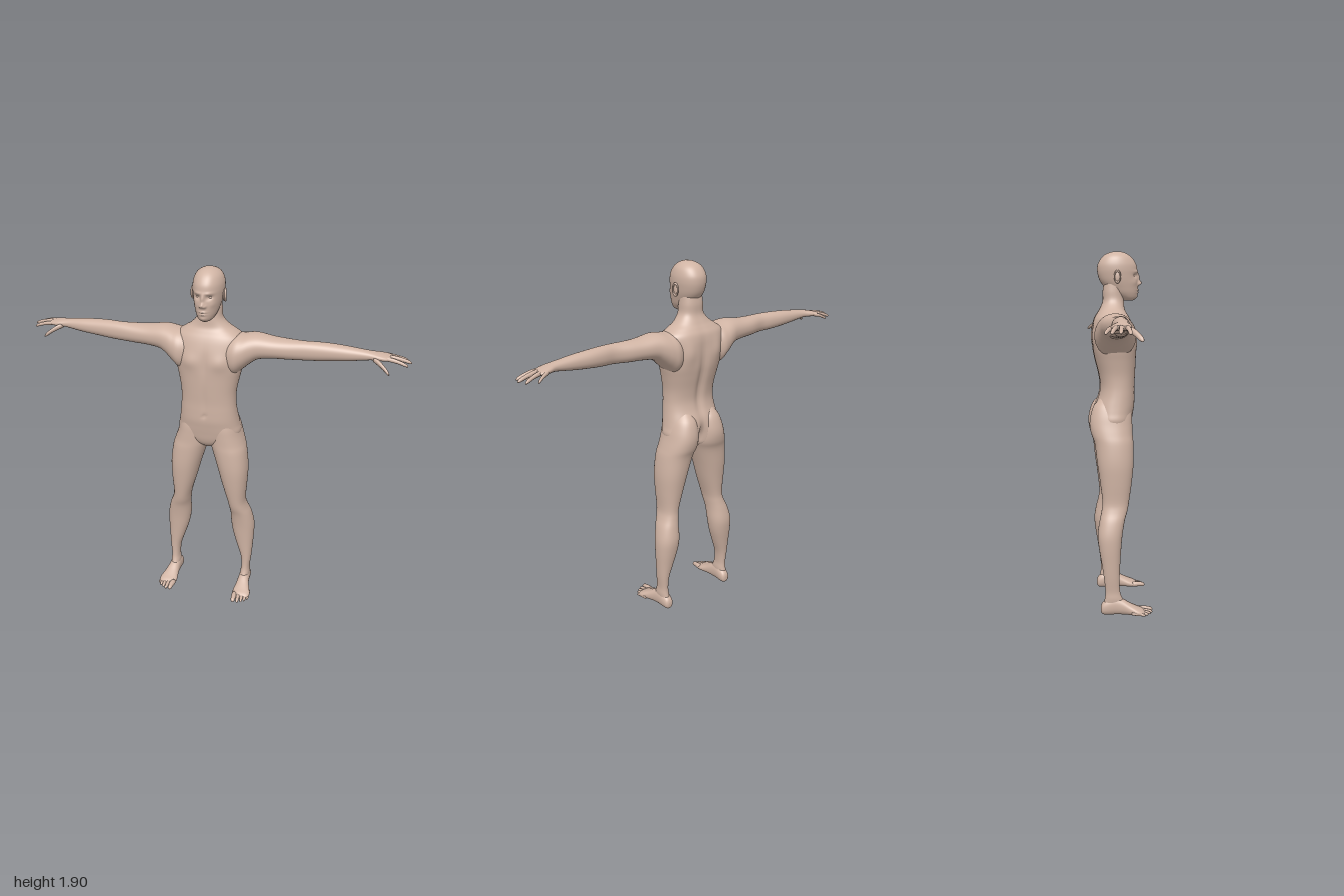
import * as THREE from 'three';

const skin = new THREE.MeshStandardMaterial({ color: 0xd0b4a4 });
skin.name = 'skin';

// Smoothly resample rows of numbers with a Catmull-Rom spline
function resample(rows, steps) {
  const out = [];
  const at = (i) => rows[Math.max(0, Math.min(rows.length - 1, i))];
  for (let i = 0; i < rows.length - 1; i++) {
    for (let s = 0; s < steps; s++) {
      const t = s / steps;
      out.push(rows[i].map((b, k) => {
        const a = at(i - 1)[k], c = at(i + 1)[k], d = at(i + 2)[k];
        return b + 0.5 * t * (c - a + t * (2 * a - 5 * b + 4 * c - d + t * (3 * (b - c) + d - a)));
      }));
    }
  }
  out.push(rows[rows.length - 1]);
  return out;
}

// Closed loft through rounded sections [t, a0, a1, b0, b1].
// Axis y: a = x, b = z. Axis x: a = y, b = z. Axis z: a = x, b = y.
function loft(name, rows, { axis = 'y', side = 1, seg = 40, steps = 4, power = 2.2, sculpt } = {}) {
  const pos = [], index = [];
  const place = (t, a, b) => {
    const p = axis === 'y' ? [a, t, b] : axis === 'x' ? [t, a, b] : [a, b, t];
    return new THREE.Vector3(...p);
  };
  const push = (p) => pos.push(p.x * side, p.y, p.z);
  const rings = resample(rows, steps);
  for (const [t, a0, a1, b0, b1] of rings) {
    for (let j = 0; j < seg; j++) {
      const q = (j / seg) * Math.PI * 2;
      const c = Math.cos(q), s = Math.sin(q);
      const round = (v) => Math.sign(v) * Math.abs(v) ** (2 / power);
      const p = place(t, (a0 + a1) / 2 + (a1 - a0) / 2 * round(c), (b0 + b1) / 2 + (b1 - b0) / 2 * round(s));
      if (sculpt) sculpt(p, s);
      push(p);
    }
  }
  const n = rings.length;
  for (let i = 0; i < n - 1; i++) {
    for (let j = 0; j < seg; j++) {
      const a = i * seg + j, b = i * seg + (j + 1) % seg;
      index.push(a, a + seg, b, b, a + seg, b + seg);
    }
  }
  // End caps
  for (const i of [0, n - 1]) {
    const [t, a0, a1, b0, b1] = rings[i];
    push(place(t, (a0 + a1) / 2, (b0 + b1) / 2));
    const mid = pos.length / 3 - 1;
    for (let j = 0; j < seg; j++) {
      const a = i * seg + j, b = i * seg + (j + 1) % seg;
      index.push(...(i === 0 ? [mid, a, b] : [mid, b, a]));
    }
  }
  // Turn the faces outward if the enclosed volume is negative
  let volume = 0;
  const v = (k) => new THREE.Vector3().fromArray(pos, index[k] * 3);
  for (let k = 0; k < index.length; k += 3) volume += v(k).dot(v(k + 1).cross(v(k + 2)));
  if (volume < 0) index.reverse();
  const geo = new THREE.BufferGeometry();
  geo.setAttribute('position', new THREE.Float32BufferAttribute(pos, 3));
  geo.setIndex(index);
  geo.computeVertexNormals();
  const mesh = new THREE.Mesh(geo, skin);
  mesh.name = name;
  return mesh;
}

// Mirrored soft bumps [x, y, width, height, outward amount, front 1 or back -1]
const bumps = (list) => (p, s) => {
  let dz = 0;
  for (const [x, y, w, h, amount, face] of list) {
    const near = Math.exp(-(((Math.abs(p.x) - x) / w) ** 2) - ((p.y - y) / h) ** 2);
    dz += amount * face * near * Math.min(1, Math.max(0, s * face * 1.6));
  }
  p.z += dz;
};

const symmetric = (rows) => rows.map(([y, w, z0, z1]) => [y, -w, w, z0, z1]);

// Tapered finger or toe from base to tip, along x or z
function digit(name, axis, side, base, tip, r, bend) {
  const k = axis === 'x' ? [0, 1, 2] : [2, 0, 1];
  const rows = [[0, 1], [0.3, 1.02], [0.6, 0.9], [0.85, 0.8], [0.96, 0.5], [1, 0.12]].map(([t, f]) => {
    const [m, a, b] = k.map((i) => base[i] + (tip[i] - base[i]) * t + (i === 1 ? bend * Math.sin(Math.PI * t) : 0));
    return [m, a - r * f, a + r * f, b - r * f, b + r * f];
  });
  return loft(name, rows, { axis, side, seg: 14, steps: 3, power: 2 });
}

export function createModel() {
  const model = new THREE.Group();
  model.name = 'figure';

  // Torso and neck
  model.add(loft('torso', symmetric([
    [0.925, 0.03, -0.08, 0.02], [0.95, 0.09, -0.12, 0.045], [0.98, 0.15, -0.135, 0.058],
    [1.02, 0.17, -0.14, 0.066], [1.06, 0.163, -0.138, 0.073], [1.1, 0.156, -0.13, 0.079],
    [1.15, 0.149, -0.112, 0.08], [1.2, 0.145, -0.105, 0.08], [1.26, 0.147, -0.113, 0.083],
    [1.33, 0.16, -0.13, 0.086], [1.38, 0.172, -0.14, 0.087], [1.43, 0.18, -0.143, 0.084],
    [1.48, 0.185, -0.142, 0.077], [1.52, 0.185, -0.14, 0.066], [1.55, 0.172, -0.134, 0.054],
    [1.575, 0.138, -0.12, 0.04], [1.6, 0.1, -0.105, 0.028], [1.64, 0.067, -0.088, 0.024],
    [1.69, 0.062, -0.087, 0.02], [1.74, 0.058, -0.08, 0.02],
  ]), {
    seg: 96, steps: 5, power: 2.3,
    sculpt: bumps([
      [0.08, 1.43, 0.05, 0.04, 0.011, 1], [0, 1.41, 0.015, 0.07, -0.006, 1],
      [0, 1.22, 0.012, 0.09, -0.004, 1], [0, 1.13, 0.009, 0.01, -0.007, 1],
      [0, 1.3, 0.022, 0.18, -0.018, -1], [0.09, 1.46, 0.04, 0.06, 0.012, -1],
      [0, 0.99, 0.016, 0.06, -0.05, -1],
    ]),
  }));

  // Head with sculpted face
  const face = bumps([
    [0, 1.765, 0.008, 0.02, 0.012, 1], [0, 1.735, 0.011, 0.012, 0.021, 1],
    [0.012, 1.728, 0.007, 0.007, 0.011, 1], [0.03, 1.77, 0.015, 0.011, -0.013, 1],
    [0.028, 1.79, 0.02, 0.007, 0.005, 1], [0, 1.698, 0.018, 0.005, 0.007, 1],
    [0, 1.686, 0.015, 0.005, 0.007, 1], [0, 1.692, 0.02, 0.0025, -0.005, 1],
    [0, 1.663, 0.018, 0.012, 0.006, 1], [0.045, 1.735, 0.015, 0.015, 0.004, 1],
  ]);
  model.add(loft('head', symmetric([
    [1.643, 0.018, 0.025, 0.07], [1.655, 0.036, 0, 0.086], [1.68, 0.052, -0.045, 0.095],
    [1.71, 0.062, -0.075, 0.098], [1.74, 0.07, -0.098, 0.097], [1.77, 0.075, -0.11, 0.096],
    [1.8, 0.078, -0.115, 0.095], [1.83, 0.076, -0.112, 0.089], [1.86, 0.066, -0.095, 0.07],
    [1.88, 0.048, -0.072, 0.047], [1.892, 0.024, -0.04, 0.02], [1.895, 0.005, -0.015, -0.005],
  ]), {
    seg: 96, steps: 7,
    sculpt: (p, s) => {
      p.x *= 1 - 0.1 * Math.max(0, s);
      face(p, s);
    },
  }));

  for (const side of [1, -1]) {
    const label = side > 0 ? 'left' : 'right';
    const limb = (part) => label + part;

    // Eye and ear
    const ball = (name, r, x, y, z, sx, sy, sz) => {
      const mesh = new THREE.Mesh(new THREE.SphereGeometry(r, 20, 14), skin);
      mesh.name = limb(name);
      mesh.position.set(x * side, y, z);
      mesh.scale.set(sx, sy, sz);
      model.add(mesh);
    };
    ball('Eye', 0.012, 0.03, 1.77, 0.066, 1.1, 0.75, 1);
    ball('Ear', 0.03, 0.077, 1.76, -0.013, 0.25, 1, 0.55);
    const rim = new THREE.Mesh(new THREE.TorusGeometry(0.024, 0.005, 8, 28), skin);
    rim.name = limb('EarRim');
    rim.position.set(0.083 * side, 1.762, -0.015);
    rim.rotation.y = side * (Math.PI / 2 + 0.25);
    rim.scale.set(0.65, 1.2, 1);
    model.add(rim);

    // Arm from inside the shoulder to the palm
    model.add(loft(limb('Arm'), [
      [0.08, 1.37, 1.54, -0.1, 0.05], [0.14, 1.355, 1.562, -0.135, 0.075], [0.18, 1.385, 1.566, -0.135, 0.068],
      [0.22, 1.42, 1.573, -0.125, 0.052], [0.26, 1.445, 1.573, -0.113, 0.04], [0.33, 1.455, 1.563, -0.1, 0.028],
      [0.4, 1.458, 1.56, -0.088, 0.02], [0.48, 1.463, 1.56, -0.07, 0.012], [0.55, 1.466, 1.56, -0.077, 0.006],
      [0.62, 1.472, 1.557, -0.082, 0], [0.7, 1.48, 1.551, -0.08, -0.006], [0.77, 1.49, 1.543, -0.078, -0.014],
      [0.81, 1.496, 1.538, -0.082, -0.015], [0.845, 1.497, 1.533, -0.096, -0.012],
      [0.88, 1.497, 1.526, -0.106, -0.018], [0.9, 1.502, 1.52, -0.098, -0.03],
    ], { axis: 'x', side, seg: 48 }));

    // Fingers and thumb: base, tip, radius
    [
      ['Index', [0.87, 1.512, -0.034], [0.985, 1.487, -0.028], 0.0105],
      ['Middle', [0.875, 1.514, -0.056], [1, 1.49, -0.07], 0.011],
      ['Ring', [0.87, 1.513, -0.076], [0.982, 1.488, -0.106], 0.0105],
      ['Little', [0.86, 1.511, -0.093], [0.932, 1.486, -0.13], 0.0095],
      ['Thumb', [0.82, 1.508, -0.026], [0.905, 1.457, 0.03], 0.0135],
    ].forEach(([n, base, tip, r]) => model.add(digit(limb(n + 'Finger'), 'x', side, base, tip, r, 0.006)));

    // Leg from buttock to ankle
    model.add(loft(limb('Leg'), [
      [1.14, 0.04, 0.11, -0.1, 0.03], [1.1, 0.015, 0.14, -0.138, 0.05], [1.05, 0.006, 0.16, -0.156, 0.06],
      [1, 0.004, 0.174, -0.162, 0.062], [0.95, 0.004, 0.19, -0.154, 0.063], [0.9, 0.02, 0.204, -0.137, 0.066],
      [0.8, 0.05, 0.215, -0.125, 0.065], [0.7, 0.077, 0.212, -0.111, 0.055], [0.6, 0.106, 0.206, -0.1, 0.04],
      [0.55, 0.115, 0.216, -0.105, 0.03], [0.5, 0.121, 0.236, -0.116, 0.015], [0.43, 0.123, 0.252, -0.127, 0.003],
      [0.36, 0.134, 0.254, -0.121, -0.004], [0.28, 0.158, 0.25, -0.108, -0.01], [0.2, 0.184, 0.245, -0.096, -0.014],
      [0.13, 0.191, 0.238, -0.089, -0.012], [0.09, 0.187, 0.24, -0.092, 0],
      [0.05, 0.188, 0.236, -0.1, 0.02], [0.02, 0.192, 0.23, -0.09, 0.02],
    ], { side, seg: 48 }));

    // Foot
    model.add(loft(limb('Foot'), [
      [-0.113, 0.2, 0.222, 0.02, 0.045], [-0.105, 0.188, 0.234, 0.006, 0.065], [-0.08, 0.182, 0.24, 0.001, 0.085],
      [-0.04, 0.182, 0.243, 0.002, 0.098], [0, 0.181, 0.248, 0.002, 0.086], [0.04, 0.177, 0.26, 0.001, 0.063],
      [0.075, 0.172, 0.272, 0, 0.045], [0.1, 0.174, 0.27, 0, 0.034], [0.118, 0.18, 0.255, 0.004, 0.022],
    ], { axis: 'z', side, seg: 36 }));

    // Toes: base x, tip x, tip z, radius
    [
      [0.188, 0.192, 0.163, 0.0145], [0.212, 0.216, 0.16, 0.0105], [0.231, 0.236, 0.149, 0.01],
      [0.247, 0.253, 0.136, 0.0095], [0.26, 0.267, 0.118, 0.009],
    ].forEach(([x0, x1, z, r], i) => model.add(
      digit(limb('Toe' + (i + 1)), 'z', side, [x0, 0.018, z - 0.07], [x1, r, z], r, 0.003)));
  }
  return model;
}
